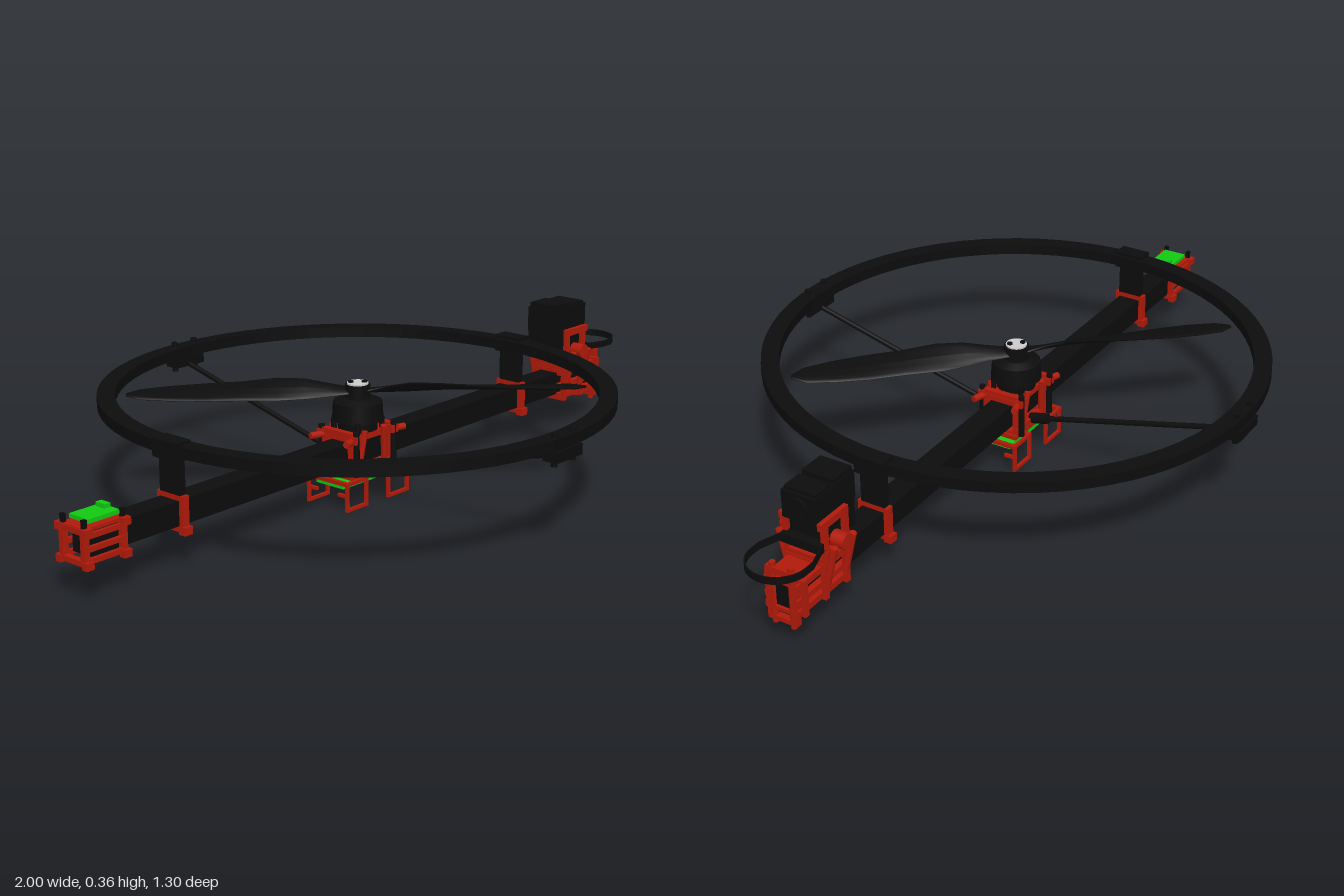
import * as THREE from 'three';

const paint = (color) => new THREE.MeshStandardMaterial({ color, side: THREE.DoubleSide });
const CX = -0.07; // rotor axis

export function createModel() {
  const root = new THREE.Group();
  const black = paint(0x0c0c0c), red = paint(0xb01a0a), green = paint(0x12c812), grey = paint(0xcccccc);

  const add = (name, geo, mat) => {
    const m = new THREE.Mesh(geo, mat);
    m.name = name;
    root.add(m);
    return m;
  };
  // box from its extents
  const box = (name, mat, x0, x1, y0, y1, z0, z1) =>
    add(name, new THREE.BoxGeometry(x1 - x0, y1 - y0, z1 - z0)
      .translate((x0 + x1) / 2, (y0 + y1) / 2, (z0 + z1) / 2), mat);
  // box plus its mirror image across z = 0
  const pair = (name, mat, x0, x1, y0, y1, z0, z1) => {
    box(name, mat, x0, x1, y0, y1, z0, z1);
    box(name, mat, x0, x1, y0, y1, -z1, -z0);
  };
  // upright cylinder
  const cyl = (name, mat, x, z, r, y0, y1, r2 = r, n = 24) =>
    add(name, new THREE.CylinderGeometry(r2, r, y1 - y0, n).translate(x, (y0 + y1) / 2, z), mat);
  // rod between two points
  const rod = (name, mat, a, b, r) => {
    const p = new THREE.Vector3(...a), q = new THREE.Vector3(...b), d = q.clone().sub(p);
    const m = add(name, new THREE.CylinderGeometry(r, r, d.length(), 10), mat);
    m.position.copy(p).add(q).multiplyScalar(0.5);
    m.quaternion.setFromUnitVectors(new THREE.Vector3(0, 1, 0), d.normalize());
  };
  // rectangular collar around the boom
  const collar = (name, mat, x0, x1, y0, y1, hz, t) => {
    box(name, mat, x0, x1, y0, y0 + t, -hz, hz);
    box(name, mat, x0, x1, y1 - t, y1, -hz, hz);
    pair(name, mat, x0, x1, y0, y1, hz - t, hz);
  };

  // main boom
  box('boom', black, -0.97, 0.92, 0.1, 0.16, -0.03, 0.03);

  // guard ring
  const section = [[0.6, 0.264], [0.645, 0.264], [0.645, 0.292], [0.6, 0.292], [0.6, 0.264]]
    .map(([r, y]) => new THREE.Vector2(r, y));
  const ring = add('guardRing', new THREE.LatheGeometry(section, 72).toNonIndexed(), black);
  ring.geometry.computeVertexNormals();
  ring.position.x = CX;

  // ring posts with boom clamps
  for (const x of [-0.7, 0.565]) {
    box('ringPost', black, x - 0.009, x + 0.009, 0.165, 0.265, -0.033, 0.033);
    box('ringPostCap', black, x - 0.022, x + 0.022, 0.255, 0.3, -0.04, 0.04);
    collar('postClamp', red, x - 0.01, x + 0.01, 0.085, 0.172, 0.042, 0.012);
    pair('clampLug', red, x - 0.012, x + 0.012, 0.08, 0.1, 0.03, 0.05);
  }

  // side struts and their end fittings
  for (const s of [-1, 1]) {
    rod('sideStrut', black, [CX, 0.1, s * 0.07], [CX, 0.245, s * 0.635], 0.007);
    box('strutBracket', black, CX - 0.05, CX + 0.05, 0.235, 0.262, s * 0.628 - 0.02, s * 0.628 + 0.02);
    for (const dx of [-0.035, 0.035]) cyl('strutBolt', black, CX + dx, s * 0.63, 0.008, 0.222, 0.302, 0.008, 8);
    rod('strutSocket', black, [CX, 0.094, s * 0.045], [CX, 0.106, s * 0.095], 0.014);
  }

  // motor and its hub
  cyl('motorBase', black, CX, 0, 0.05, 0.18, 0.205);
  cyl('motorBell', black, CX, 0, 0.065, 0.205, 0.252, 0.062);
  cyl('motorShoulder', black, CX, 0, 0.062, 0.252, 0.262, 0.04);
  cyl('propHub', black, CX, 0, 0.032, 0.26, 0.295);
  cyl('hubCap', grey, CX, 0, 0.027, 0.295, 0.299);
  for (const dx of [-0.012, 0.012]) cyl('hubScrew', black, CX + dx, dx, 0.007, 0.299, 0.303, 0.007, 10);
  for (const sx of [-1, 1]) for (const sz of [-1, 1])
    cyl('motorStandoff', black, CX + sx * 0.045, sz * 0.04, 0.007, 0.16, 0.21, 0.007, 8);

  // twisted propeller blades: radius, half chord, lift, pitch
  const stations = [[0.015, 0.022, 0.277, 0.1], [0.07, 0.024, 0.28, 0.5], [0.13, 0.035, 0.284, 0.55],
    [0.2, 0.045, 0.284, 0.42], [0.29, 0.044, 0.281, 0.3], [0.38, 0.047, 0.279, 0.22],
    [0.47, 0.043, 0.278, 0.16], [0.54, 0.032, 0.277, 0.12], [0.575, 0.009, 0.277, 0.1]];
  const blade = new THREE.CylinderGeometry(1, 1, 1, 14, stations.length - 1);
  const pos = blade.attributes.position;
  for (let i = 0; i < pos.count; i++) {
    const row = Math.round((pos.getY(i) + 0.5) * (stations.length - 1));
    const [r, w, lift, pitch] = stations[row];
    const c = pos.getX(i) * w, t = pos.getZ(i) * Math.min(0.006, w * 0.3);
    pos.setXYZ(i, r, lift + c * Math.sin(pitch) + t * Math.cos(pitch),
      c * Math.cos(pitch) - t * Math.sin(pitch));
  }
  blade.computeVertexNormals();
  for (const k of [0, 1]) {
    const b = add('propellerBlade', blade, black);
    b.position.x = CX;
    b.rotation.y = -Math.PI / 4 + k * Math.PI;
  }

  // central motor mount around the boom
  for (const x of [-0.14, 0]) {
    collar('mountFrame', red, x - 0.008, x + 0.008, 0.075, 0.19, 0.05, 0.014);
    pair('mountEar', red, x - 0.012, x + 0.012, 0.165, 0.185, 0.045, 0.065);
  }
  box('mountPlate', red, -0.145, 0.01, 0.165, 0.18, -0.05, 0.05);
  box('lowerPlate', red, -0.15, 0.015, 0.07, 0.082, -0.05, 0.05);
  pair('mountRail', red, -0.145, 0.01, 0.085, 0.1, 0.038, 0.052);
  for (const s of [-1, 1]) for (const z of [-1, 1]) {
    rod('mountArm', red, [CX + s * 0.06, 0.172, z * 0.045], [CX + s * 0.11, 0.172, z * 0.06], 0.009);
    rod('mountBrace', red, [CX + s * 0.05, 0.08, z * 0.045], [CX + s * 0.035, 0.19, z * 0.055], 0.008);
    cyl('mountBolt', black, CX + s * 0.07, z * 0.058, 0.008, 0.08, 0.195, 0.008, 8);
  }

  // circuit board and landing legs
  box('circuitBoard', green, -0.175, 0.035, 0.053, 0.064, -0.045, 0.045);
  box('boardChip', black, -0.1, -0.04, 0.045, 0.053, -0.02, 0.02);
  for (const [outer, inner] of [[-0.182, -0.112], [0.045, -0.028]]) {
    const x0 = Math.min(outer, inner), x1 = Math.max(outer, inner);
    pair('legFoot', red, x0 - 0.004, x1 + 0.004, 0, 0.008, 0.061, 0.069);
    pair('legOuter', red, outer - 0.004, outer + 0.004, 0, 0.075, 0.061, 0.069);
    pair('legInner', red, inner - 0.004, inner + 0.004, 0, 0.075, 0.061, 0.069);
    pair('legRail', red, x0 - 0.004, x1 + 0.004, 0.067, 0.076, 0.061, 0.069);
    pair('legStub', red, outer - 0.004, outer + 0.004, 0.036, 0.044, 0.035, 0.065);
    box('legCrossbar', red, outer - 0.005, outer + 0.005, 0.066, 0.076, -0.069, 0.069);
    box('legCrossbar', red, inner - 0.005, inner + 0.005, 0.066, 0.076, -0.069, 0.069);
  }

  // tail unit with a small green board
  for (const x of [-0.99, -0.882]) {
    collar('tailFrame', red, x - 0.008, x + 0.008, 0.085, 0.17, 0.042, 0.013);
    for (const y of [0.08, 0.155]) pair('tailLug', red, x - 0.011, x + 0.011, y, y + 0.018, 0.035, 0.052);
    pair('tailPost', black, x - 0.005, x + 0.005, 0.165, 0.192, 0.03, 0.04);
  }
  for (const y of [0.09, 0.118, 0.148]) pair('tailRail', red, -0.99, -0.88, y, y + 0.012, 0.034, 0.044);
  box('tailTray', red, -0.995, -0.875, 0.164, 0.172, -0.04, 0.04);
  box('tailBoard', green, -0.975, -0.885, 0.178, 0.188, -0.032, 0.032);
  box('tailConnector', green, -0.905, -0.888, 0.188, 0.198, -0.025, 0.005);

  // nose unit gripping the boom
  for (const y of [0.09, 0.118, 0.155]) pair('noseRail', red, 0.74, 0.925, y, y + 0.014, 0.03, 0.046);
  box('noseTop', red, 0.74, 0.925, 0.162, 0.172, -0.046, 0.046);
  box('noseBottom', red, 0.74, 0.925, 0.088, 0.098, -0.046, 0.046);
  for (const x of [0.75, 0.83, 0.905]) collar('noseCollar', red, x - 0.007, x + 0.007, 0.083, 0.178, 0.054, 0.012);
  collar('noseEndFrame', red, 0.91, 0.926, 0.06, 0.2, 0.04, 0.012);
  for (const z of [-0.025, 0.025]) cyl('noseEndPin', red, 0.918, z, 0.008, 0.05, 0.21, 0.008, 8);

  // camera cradle
  box('cradleBase', red, 0.745, 0.835, 0.172, 0.19, -0.06, 0.06);
  pair('cradleCheek', red, 0.745, 0.76, 0.18, 0.285, 0.046, 0.058);
  pair('cradleCheek', red, 0.82, 0.835, 0.18, 0.285, 0.046, 0.058);
  pair('cradleTopBar', red, 0.745, 0.845, 0.27, 0.288, 0.046, 0.058);
  pair('cradleLowBar', red, 0.745, 0.835, 0.195, 0.21, 0.046, 0.06);
  for (const s of [-1, 1]) {
    rod('cradlePivot', red, [0.79, 0.225, s * 0.05], [0.79, 0.225, s * 0.086], 0.02);
    for (const x of [0.755, 0.825]) rod('cradleBrace', red, [x, 0.225, s * 0.075], [x, 0.12, s * 0.05], 0.009);
  }
  box('gimbalServo', black, 0.755, 0.825, 0.19, 0.28, -0.044, 0.044);

  // camera body
  box('cameraBody', black, 0.7, 0.848, 0.28, 0.35, -0.045, 0.045);
  box('cameraTop', black, 0.705, 0.775, 0.35, 0.362, -0.042, 0.042);
  box('cameraTop', black, 0.785, 0.84, 0.35, 0.357, -0.042, 0.042);
  box('cameraBack', black, 0.7, 0.748, 0.205, 0.28, -0.042, 0.042);
  const lens = cyl('cameraLens', black, 0, 0, 0.028, -0.01, 0.01);
  lens.rotation.z = Math.PI / 2;
  lens.position.set(0.845, 0.315, 0);

  // thin bumper loop at the nose
  const loop = (r) => {
    const s = new THREE.Shape();
    s.moveTo(0.84, -r + 0.02);
    s.lineTo(0.9, -r);
    s.absarc(0.925, 0, r, -1.6, 1.6, false);
    s.lineTo(0.9, r);
    s.lineTo(0.84, r - 0.02);
    return s;
  };
  const outline = loop(0.075);
  outline.holes.push(loop(0.0715));
  for (const p of outline.holes) p.curves.forEach((c) => { if (c.v1 && c.v1.x === 0.84) c.v1.x = 0.8435; if (c.v2 && c.v2.x === 0.84) c.v2.x = 0.8435; });
  add('bumperLoop', new THREE.ExtrudeGeometry(outline, { depth: 0.018, bevelEnabled: false, curveSegments: 24 })
    .rotateX(-Math.PI / 2).translate(0, 0.214, 0), black);
  box('bumperRoot', black, 0.82, 0.85, 0.212, 0.234, -0.055, 0.055);

  return root;
}
